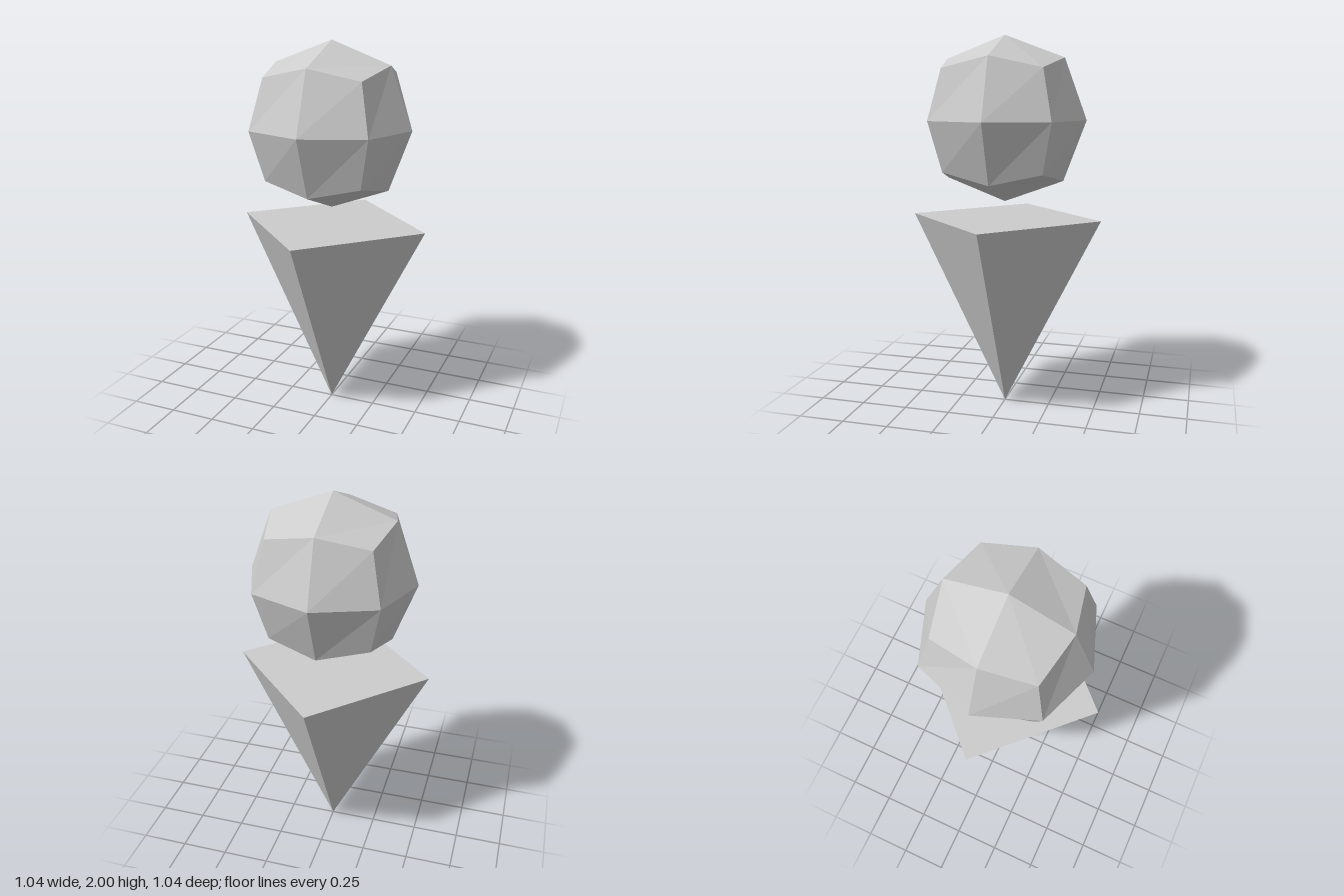
import * as THREE from 'three';

export function createModel() {
  const model = new THREE.Group();
  const grey = new THREE.MeshStandardMaterial({ color: 0xcccccc, flatShading: true });
  grey.name = 'light grey';

  // Cone: square pyramid standing on its tip, corners on the axes
  const coneHeight = 1.042;
  const coneGeometry = new THREE.ConeGeometry(0.52, coneHeight, 4).toNonIndexed();
  coneGeometry.rotateX(Math.PI).translate(0, coneHeight / 2, 0);
  coneGeometry.computeVertexNormals();
  const cone = new THREE.Mesh(coneGeometry, grey);
  cone.name = 'cone';
  model.add(cone);

  // Scoop: 2x2x2 cube rounded into 24 kite-shaped facets.
  // Face centres, edge midpoints and corners each get their own distance.
  const scoopGeometry = new THREE.BoxGeometry(2, 2, 2, 2, 2, 2).toNonIndexed();
  const reach = [0, 0.435, 0.317, 0.261];
  const position = scoopGeometry.attributes.position;
  const v = new THREE.Vector3();
  for (let i = 0; i < position.count; i++) {
    v.fromBufferAttribute(position, i).round();
    v.multiplyScalar(reach[Math.abs(v.x) + Math.abs(v.y) + Math.abs(v.z)]);
    position.setXYZ(i, v.x, v.y, v.z);
  }
  scoopGeometry.computeVertexNormals();
  const scoop = new THREE.Mesh(scoopGeometry, grey);
  scoop.name = 'scoop';
  scoop.position.y = 1.565;
  model.add(scoop);

  return model;
}
